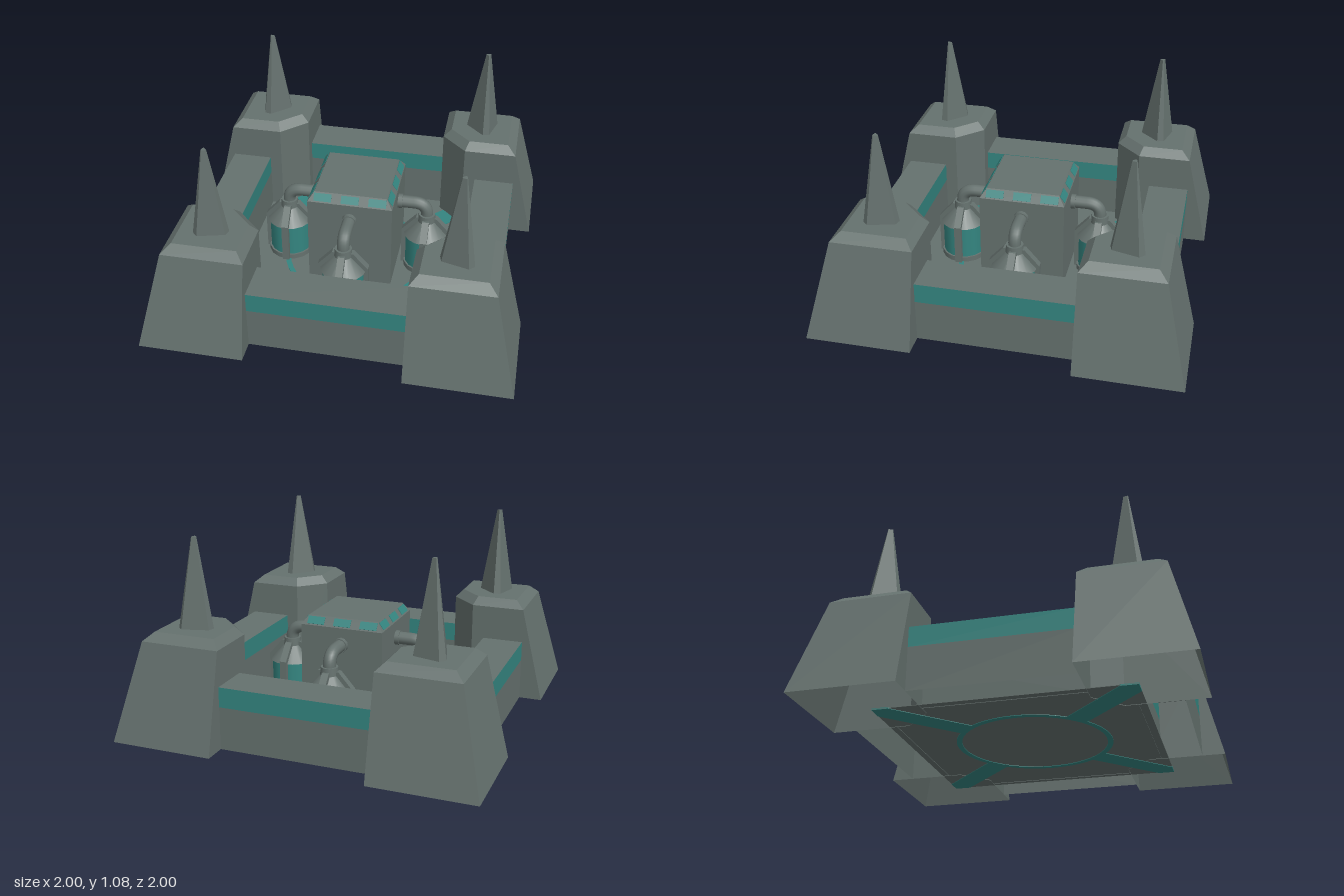
import * as THREE from 'three';

const gray = new THREE.MeshStandardMaterial({ color: 0x65716e, side: THREE.DoubleSide });
gray.name = 'slateGray';
const teal = new THREE.MeshStandardMaterial({ color: 0x348580, side: THREE.DoubleSide });
teal.name = 'teal';

function add(parent, name, geometry, material, x = 0, y = 0, z = 0) {
  const mesh = new THREE.Mesh(geometry, material);
  mesh.name = name;
  mesh.position.set(x, y, z);
  parent.add(mesh);
  return mesh;
}

// Flat-shaded solid through rings { y, pts: [[x, z], ...] }, closed on top and open below
function loft(rings) {
  const pos = [];
  const put = (ring, i) => pos.push(ring.pts[i][0], ring.y, ring.pts[i][1]);
  const n = rings[0].pts.length;
  for (let r = 0; r + 1 < rings.length; r++) {
    const a = rings[r], b = rings[r + 1];
    for (let i = 0; i < n; i++) {
      const j = (i + 1) % n;
      put(a, i); put(b, i); put(a, j);
      put(b, i); put(b, j); put(a, j);
    }
  }
  const top = rings[rings.length - 1];
  for (let i = 1; i + 1 < n; i++) { put(top, 0); put(top, i + 1); put(top, i); }
  const g = new THREE.BufferGeometry();
  g.setAttribute('position', new THREE.Float32BufferAttribute(pos, 3));
  g.computeVertexNormals();
  return g;
}

// Four copies of a part, turned about the centre
function fourTimes(parent, name, build) {
  for (let k = 0; k < 4; k++) {
    const g = new THREE.Group();
    g.name = name;
    g.rotation.y = k * Math.PI / 2;
    build(g);
    parent.add(g);
  }
}

const square = (s) => [[s, -s], [s, s], [-s, s], [-s, -s]];

// Corner tower outline: square with its inner corner cut off
const towerRing = (y, o, i, c) => ({ y, pts: [[o, i], [o, o], [i, o], [i, c], [c, i]] });

// Spike outline: triangle with blunt corners, one pointing outwards
function spikeRing(y, s) {
  const pts = [];
  for (let k = 0; k < 3; k++) {
    const a = Math.PI / 4 + k * Math.PI * 2 / 3;
    for (const d of [-0.2, 0.2]) pts.push([0.655 + 0.1 * s * Math.cos(a + d), 0.655 + 0.1 * s * Math.sin(a + d)]);
  }
  return { y, pts };
}

function buildTower(g) {
  add(g, 'towerBody', loft([
    towerRing(0, 1, 0.425, 0.57), towerRing(0.54, 0.87, 0.425, 0.57), towerRing(0.585, 0.82, 0.47, 0.59),
  ]), gray);
  add(g, 'towerSpike', loft([spikeRing(0.583, 1), spikeRing(1.075, 0.15)]), gray);
}

function buildWall(g) {
  const len = 0.85, split = 0.235, top = 0.345;
  for (const [z, turn] of [[0.872, 0], [0.64, Math.PI]]) {
    add(g, 'wallFace', new THREE.PlaneGeometry(len, split), gray, 0, split / 2, z).rotation.y = turn;
    add(g, 'wallBand', new THREE.PlaneGeometry(len, top - split), teal, 0, (top + split) / 2, z).rotation.y = turn;
  }
  add(g, 'wallTop', new THREE.PlaneGeometry(len, 0.232), gray, 0, top, 0.756).rotation.x = -Math.PI / 2;
}

// Tank with cap, four straps and a pipe bending into the core
function buildTank(g) {
  const z = 0.407;
  add(g, 'tank', new THREE.CylinderGeometry(0.12, 0.12, 0.22, 16), teal, 0, 0.12, z);
  add(g, 'tankFoot', new THREE.CylinderGeometry(0.13, 0.13, 0.03, 16), gray, 0, 0.022, z);
  add(g, 'tankCap', new THREE.CylinderGeometry(0.05, 0.13, 0.09, 16), gray, 0, 0.272, z);
  add(g, 'pipeFlange', new THREE.CylinderGeometry(0.048, 0.052, 0.05, 16), gray, 0, 0.335, z);

  const profile = new THREE.Shape([
    [0.115, 0.01], [0.142, 0.01], [0.142, 0.245], [0.06, 0.338], [0.04, 0.338], [0.04, 0.30], [0.115, 0.22],
  ].map(([x, y]) => new THREE.Vector2(x, y)));
  const strap = new THREE.ExtrudeGeometry(profile, { depth: 0.04, bevelEnabled: false });
  strap.translate(0, 0, -0.02);
  for (let k = 0; k < 4; k++) add(g, 'tankStrap', strap, gray, 0, 0, z).rotation.y = k * Math.PI / 2;

  const path = new THREE.CurvePath();
  const v = (y, zz) => new THREE.Vector3(0, y, zz);
  path.add(new THREE.LineCurve3(v(0.43, 0.2), v(0.43, 0.33)));
  path.add(new THREE.QuadraticBezierCurve3(v(0.43, 0.33), v(0.43, z), v(0.36, z)));
  path.add(new THREE.LineCurve3(v(0.36, z), v(0.33, z)));
  add(g, 'pipe', new THREE.TubeGeometry(path, 24, 0.036, 12), gray);
  add(g, 'pipeCollar', new THREE.CylinderGeometry(0.042, 0.042, 0.03, 12), gray, 0, 0.43, 0.25).rotation.x = Math.PI / 2;
}

// Three windows on one sloped edge of the core
function buildWindows(g) {
  for (const x of [-0.155, 0, 0.155]) {
    add(g, 'coreWindow', new THREE.BoxGeometry(0.1, 0.045, 0.006), teal, x, 0.55, 0.2225).rotation.x = -0.61;
  }
}

// Floor plate or inlay lying flat with its underside at y
function flat(shape, y, depth) {
  const g = new THREE.ExtrudeGeometry(shape, { depth, bevelEnabled: false, curveSegments: 24 });
  g.rotateX(-Math.PI / 2);
  g.translate(0, y, 0);
  return g;
}

export function createModel() {
  const model = new THREE.Group();
  model.name = 'fortress';

  // Floor with ring and diagonal spokes showing on both sides
  const shapeOf = (pts) => new THREE.Shape(pts.map(([x, y]) => new THREE.Vector2(x, y)));
  add(model, 'floor', flat(shapeOf(square(0.68)), 0.003, 0.003), gray);
  const ring = new THREE.Shape();
  ring.absarc(0, 0, 0.43, 0, Math.PI * 2);
  const hole = new THREE.Path();
  hole.absarc(0, 0, 0.4, 0, Math.PI * 2, true);
  ring.holes.push(hole);
  add(model, 'floorRing', flat(ring, 0, 0.009), teal);
  const spoke = flat(shapeOf([[0.68, 0.68], [0.59, 0.68], [0.25, 0.34], [0.297, 0.297], [0.34, 0.25], [0.68, 0.59]]), 0, 0.009);
  fourTimes(model, 'floorInlay', (g) => add(g, 'floorSpoke', spoke, teal));

  // Walls, towers and tanks on every side
  fourTimes(model, 'wall', buildWall);
  fourTimes(model, 'tower', buildTower);
  fourTimes(model, 'tankUnit', buildTank);

  // Central block with sloped top edges
  add(model, 'core', loft([
    { y: 0.006, pts: square(0.24) }, { y: 0.525, pts: square(0.24) }, { y: 0.575, pts: square(0.205) },
  ]), gray);
  fourTimes(model, 'coreWindows', buildWindows);

  return model;
}
